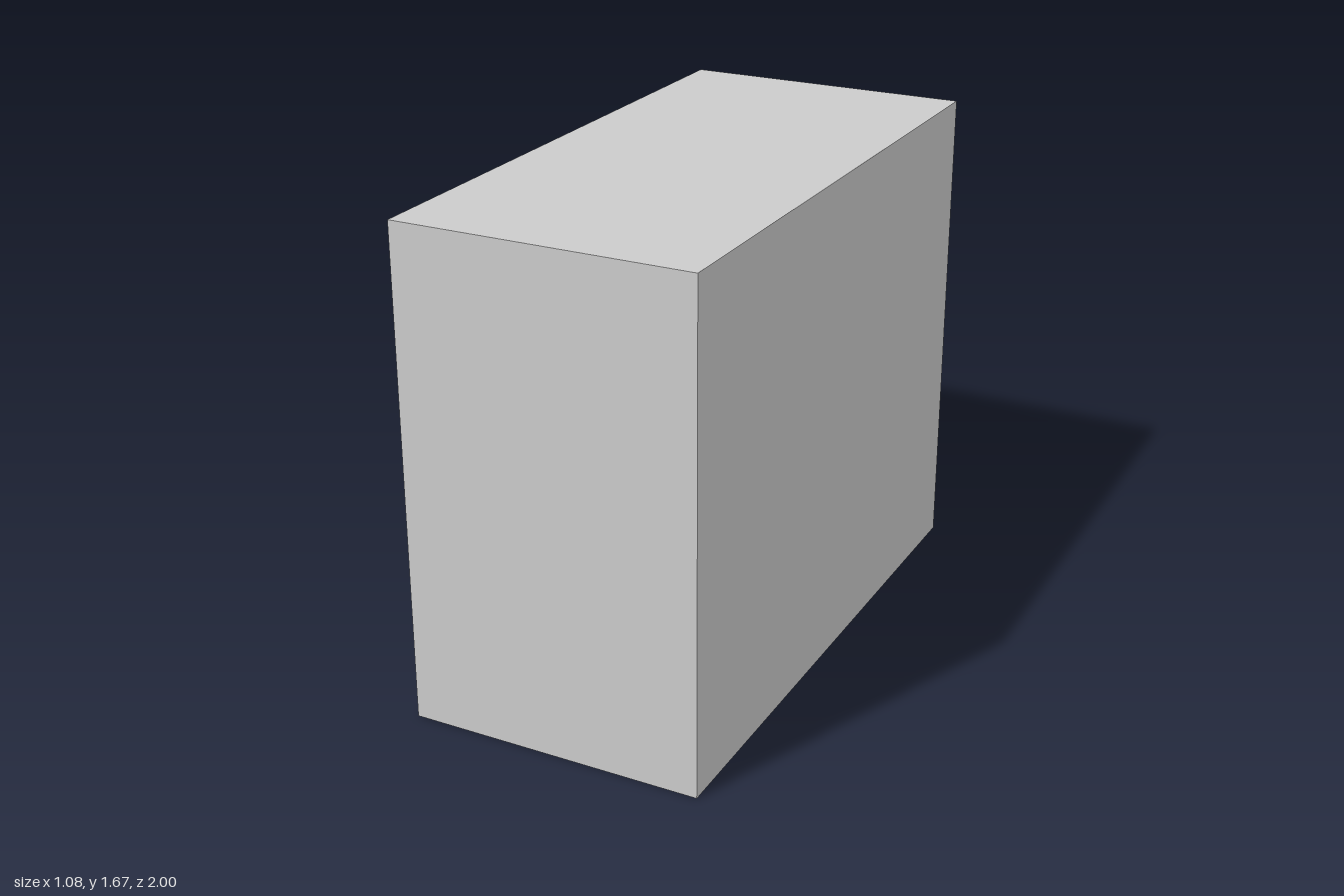
import * as THREE from 'three';

const W = 1.0, H = 1.667, D = 2.0;   // cabinet size
const FACE = -0.458;                 // x of the door side
const DEPTH = 0.05;                  // thickness of the door wall
const GAP = 0.01;                    // clearance around each door
const OPENINGS = [[-0.81, -0.125], [0.125, 0.81]];
const SILL = 0.005, HEAD = 1.388;

const material = new THREE.MeshStandardMaterial({ color: 0xcccccc });

function add(parent, name, geometry, x = 0, y = 0, z = 0) {
  const mesh = new THREE.Mesh(geometry, material);
  mesh.name = name;
  mesh.position.set(x, y, z);
  parent.add(mesh);
  return mesh;
}

const polygon = (points) => points.map(([a, b]) => new THREE.Vector2(a, b));

export function createModel() {
  const model = new THREE.Group();
  model.name = 'twoDoorCabinet';

  // Main volume behind the door wall
  add(model, 'body', new THREE.BoxGeometry(W - DEPTH, H, D), FACE + DEPTH + (W - DEPTH) / 2, H / 2, 0);

  // Door wall with two openings, drawn in (z, y) and turned to face -x
  const wall = new THREE.Shape(polygon([[-D / 2, 0], [D / 2, 0], [D / 2, H], [-D / 2, H]]));
  for (const [a, b] of OPENINGS) {
    wall.holes.push(new THREE.Path(polygon([[a, SILL], [a, HEAD], [b, HEAD], [b, SILL]])));
  }
  const wallGeometry = new THREE.ExtrudeGeometry(wall, { depth: DEPTH, bevelEnabled: false });
  wallGeometry.rotateY(-Math.PI / 2);
  add(model, 'doorWall', wallGeometry, FACE + DEPTH, 0, 0);

  // L-shaped lever seen from above, drawn in (x, -z) from the bracket end
  const lever = new THREE.Shape(polygon([
    [0, 0], [0, 0.055], [-0.053, 0.055], [-0.053, 0.18], [-0.084, 0.18], [-0.084, 0],
  ]));
  const leverGeometry = new THREE.ExtrudeGeometry(lever, { depth: 0.04, bevelEnabled: false });
  leverGeometry.rotateX(-Math.PI / 2);

  OPENINGS.forEach(([a, b], i) => {
    const door = new THREE.Group();
    door.name = i ? 'frontDoor' : 'rearDoor';
    model.add(door);

    // Flush panel with a narrow gap all round
    const height = HEAD - SILL - 1.4 * GAP;
    add(door, 'doorPanel', new THREE.BoxGeometry(DEPTH - 0.005, height, b - a - 2 * GAP),
      FACE + (DEPTH - 0.005) / 2, SILL + 0.002 + height / 2, (a + b) / 2);

    add(door, 'handle', leverGeometry, FACE, 0.67, b - 0.02);

    // Slim hinge pins on the edge away from the handle
    for (const y of [0.21, 1.237]) {
      add(door, 'hinge', new THREE.CapsuleGeometry(0.006, 0.12, 4, 12), FACE + 0.001, y, a + GAP / 2);
    }
  });

  return model;
}
